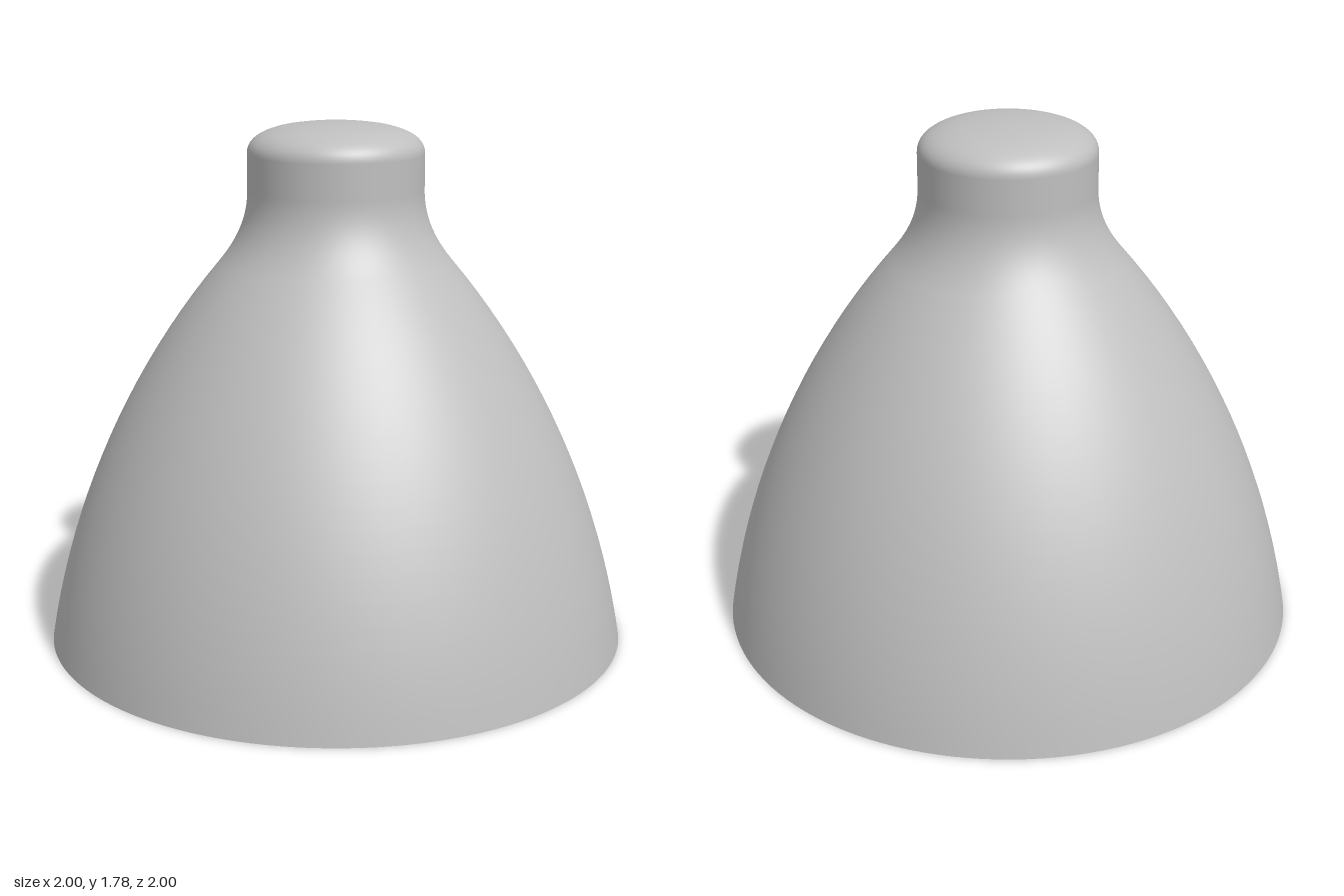
import * as THREE from 'three';

const v = (x, y) => new THREE.Vector2(x, y);

// Bell profile from the open rim up to the closed top of the neck
function bellProfile(rim, shoulder, neck, neckLow, neckHigh, top) {
  const path = new THREE.CurvePath();
  path.add(new THREE.CubicBezierCurve(v(rim, 0), v(rim - 0.08, 0.48), v(shoulder.x + 0.31, shoulder.y - 0.37), shoulder));
  path.add(new THREE.CubicBezierCurve(shoulder, v(shoulder.x - 0.06, shoulder.y + 0.072), v(neck, neckLow - 0.1), v(neck, neckLow)));
  path.add(new THREE.LineCurve(v(neck, neckLow), v(neck, neckHigh)));
  path.add(new THREE.CubicBezierCurve(v(neck, neckHigh), v(neck, neckHigh + 0.05), v(neck - 0.05, top - 0.03), v(neck - 0.12, top - 0.015)));
  path.add(new THREE.QuadraticBezierCurve(v(neck - 0.12, top - 0.015), v((neck - 0.12) * 0.5, top), v(0, top)));
  const points = [];
  path.curves.forEach((curve, i) => {
    const steps = curve.isLineCurve ? 1 : 20;
    points.push(...curve.getPoints(steps).slice(i ? 1 : 0));
  });
  return points;
}

export function createModel() {
  const group = new THREE.Group();
  group.name = 'bellShade';
  const grey = new THREE.MeshStandardMaterial({ color: 0xbfbfbf });
  grey.name = 'grey';

  const addLathe = (name, points) => {
    const mesh = new THREE.Mesh(new THREE.LatheGeometry(points, 128), grey);
    mesh.name = name;
    group.add(mesh);
  };

  // Outside, hollow inside and the flat ring joining them
  addLathe('outerShell', bellProfile(1, v(0.4, 1.31), 0.298, 1.56, 1.68, 1.785));
  addLathe('innerShell', bellProfile(0.945, v(0.355, 1.275), 0.243, 1.54, 1.64, 1.73).reverse());
  addLathe('rim', [v(0.945, 0), v(1, 0)]);

  return group;
}
